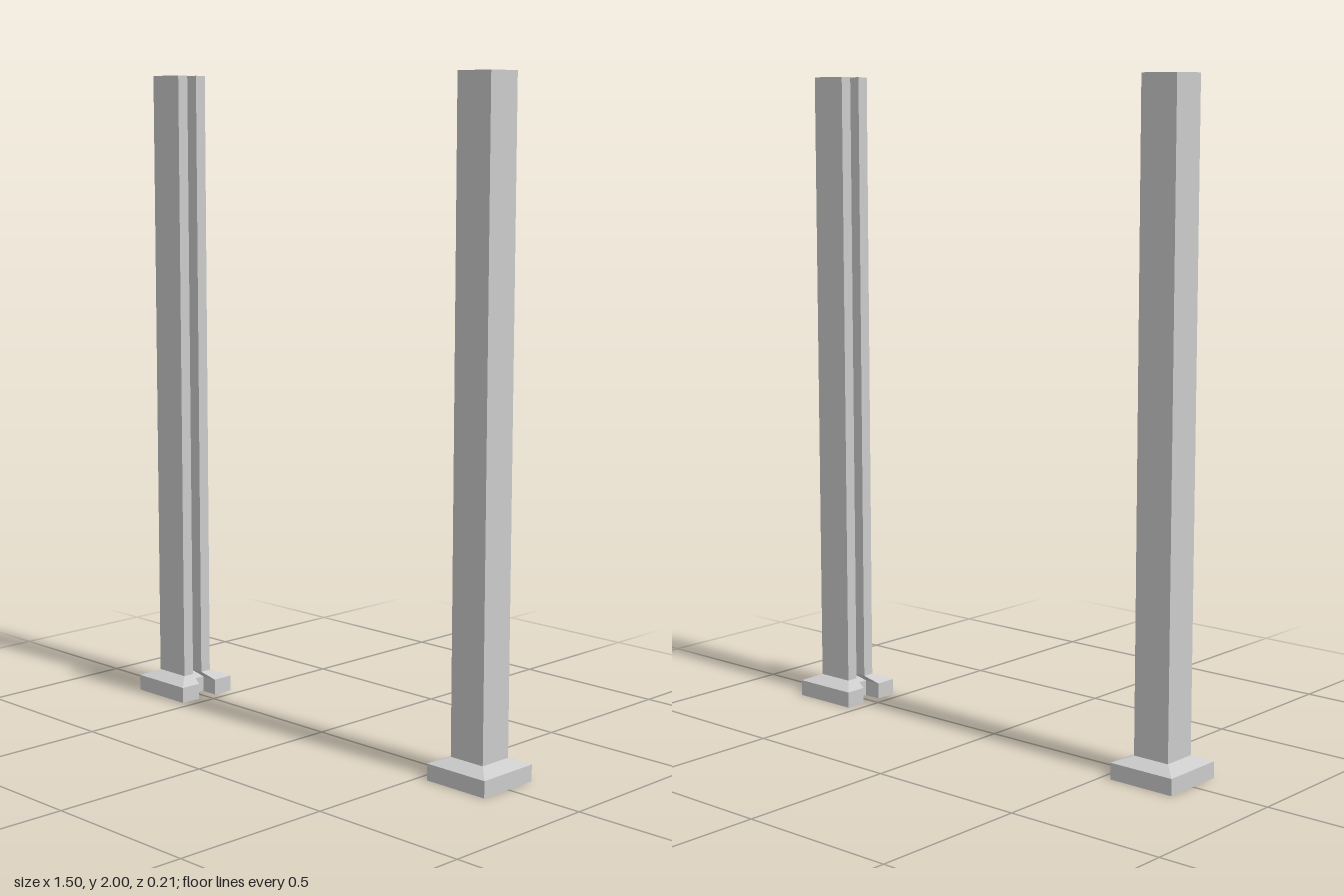
import * as THREE from 'three';

const material = new THREE.MeshStandardMaterial({ color: 0xcccccc, flatShading: true });

// C-shaped outline [x, z], slot opening towards the centre (-x side)
function outline(xOuter, xInner, xSlot, zHalf, slotHalf) {
  return [
    [xOuter, zHalf], [xOuter, -zHalf], [xInner, -zHalf], [xInner, -slotHalf],
    [xSlot, -slotHalf], [xSlot, slotHalf], [xInner, slotHalf], [xInner, zHalf],
  ];
}

// Joins outlines stacked at given heights, with optional end caps
function loft(sections, capBottom, capTop) {
  const pos = [];
  for (let s = 0; s < sections.length - 1; s++) {
    const lo = sections[s], hi = sections[s + 1], n = lo.ring.length;
    for (let i = 0; i < n; i++) {
      const j = (i + 1) % n;
      const at = (sec, k) => [sec.ring[k][0], sec.y, sec.ring[k][1]];
      const a = at(lo, i), b = at(lo, j), c = at(hi, j), d = at(hi, i);
      pos.push(...a, ...b, ...c, ...a, ...c, ...d);
    }
  }
  const cap = ({ ring, y }, up) => {
    const pts = ring.map(([x, z]) => new THREE.Vector2(x, -z));
    for (const tri of THREE.ShapeUtils.triangulateShape(pts, [])) {
      for (const k of up ? tri : [...tri].reverse()) pos.push(ring[k][0], y, ring[k][1]);
    }
  };
  if (capBottom) cap(sections[0], false);
  if (capTop) cap(sections[sections.length - 1], true);
  const geo = new THREE.BufferGeometry();
  geo.setAttribute('position', new THREE.Float32BufferAttribute(pos, 3));
  geo.computeVertexNormals();
  return geo;
}

export function createModel() {
  const model = new THREE.Group();
  model.name = 'slottedPosts';

  const shaftRing = outline(0.7, 0.58, 0.637, 0.055, 0.018);
  const footRing = outline(0.748, 0.532, 0.588, 0.103, 0.034);

  // Foot plate with a bevel running up to the shaft
  const footGeo = loft([
    { y: 0, ring: footRing }, { y: 0.05, ring: footRing }, { y: 0.07, ring: shaftRing },
  ], true, false);
  // Tall grooved shaft
  const shaftGeo = loft([{ y: 0.07, ring: shaftRing }, { y: 2, ring: shaftRing }], false, true);

  // The two posts face each other
  for (const [name, angle] of [['leftPost', 0], ['rightPost', Math.PI]]) {
    const post = new THREE.Group();
    post.name = name;
    for (const [part, geo] of [['foot', footGeo], ['shaft', shaftGeo]]) {
      const mesh = new THREE.Mesh(geo, material);
      mesh.name = part;
      post.add(mesh);
    }
    post.rotation.y = angle;
    model.add(post);
  }
  return model;
}
